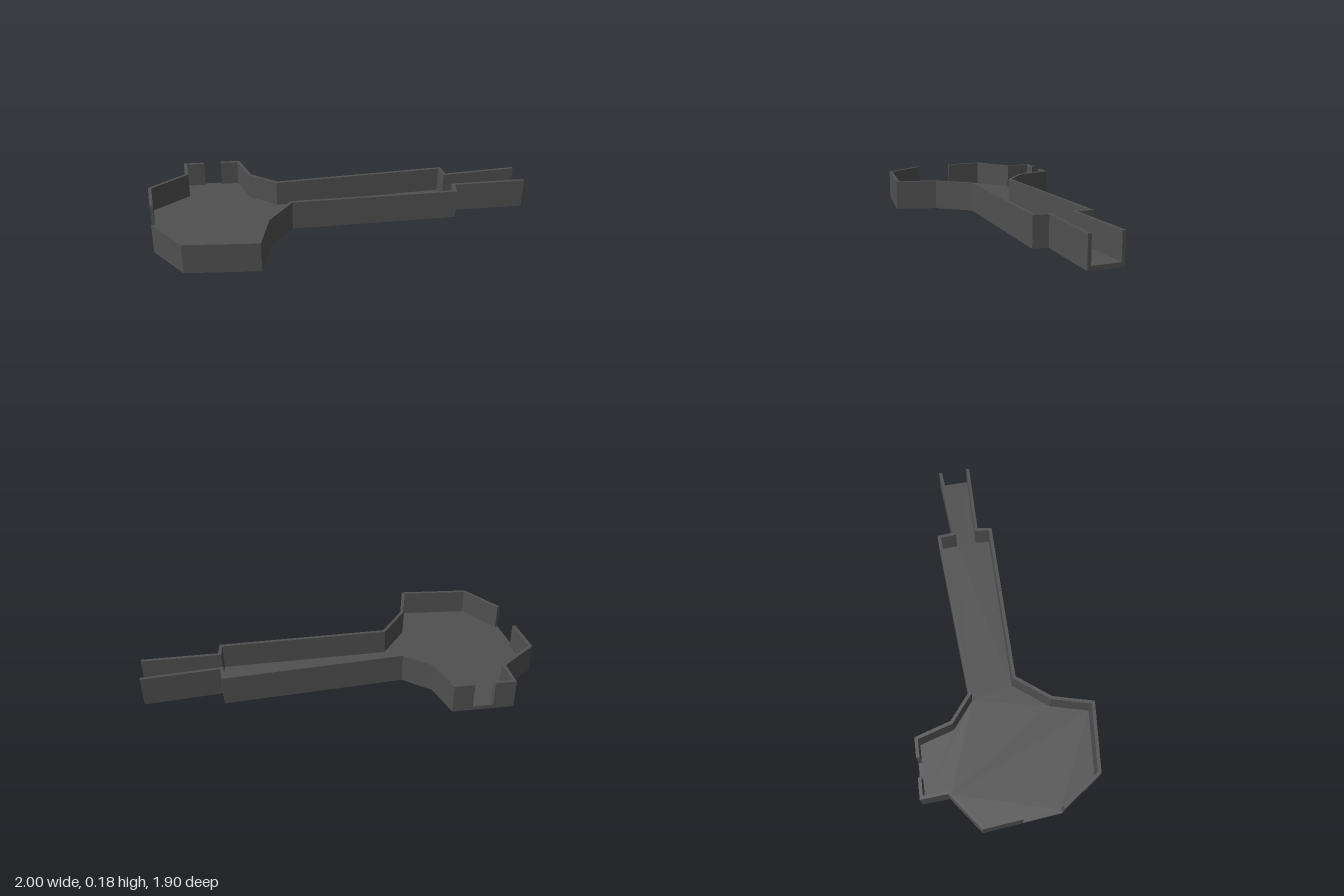
import * as THREE from 'three';

const HEIGHT = 0.18, SILL = 0.025, WALL = 0.02, FLOOR_BOTTOM = 0.018;

// Plan outline as [x, z, wall spans]; spans are fractions of the edge to the
// next corner that carry a full-height wall (default: the whole edge).
const OUTLINE = [
  [0.863, -0.95, []],                      // open corridor end
  [1, -0.8],
  [0.65, -0.51],
  [0.7, -0.435],
  [-0.08, 0.225],
  [-0.07, 0.475],
  [0.04, 0.705],
  [-0.317, 0.95],
  [-0.605, 0.875, [[0.5, 1]]],             // wide doorway beside the front wall
  [-0.95, 0.54],
  [-0.885, 0.27],
  [-1, 0.15, [[0, 0.34], [0.67, 1]]],      // doorway in the back wall
  [-0.715, -0.08],
  [-0.52, 0.045],
  [-0.32, 0.04],
  [0.465, -0.7],
  [0.535, -0.63],
];

// Mitred inward offset of a closed polygon (clockwise in shape space)
function inset(points, d) {
  const n = points.length;
  return points.map((p, i) => {
    const a = p.clone().sub(points[(i + n - 1) % n]).normalize();
    const b = points[(i + 1) % n].clone().sub(p).normalize();
    const na = new THREE.Vector2(a.y, -a.x);
    const nb = new THREE.Vector2(b.y, -b.x);
    const m = na.clone().add(nb);
    return p.clone().addScaledVector(m, d / (1 + na.dot(nb)));
  });
}

// Extrudes a plan shape upwards from y0 to y1
function slab(shape, y0, y1) {
  const g = new THREE.ExtrudeGeometry(shape, { depth: y1 - y0, bevelEnabled: false });
  g.rotateX(-Math.PI / 2);
  g.translate(0, y0, 0);
  return g;
}

export function createModel() {
  const model = new THREE.Group();
  model.name = 'walledRoomWithCorridor';
  const material = new THREE.MeshStandardMaterial({ color: 0x505050, flatShading: true });
  const add = (parent, name, geometry) => {
    const mesh = new THREE.Mesh(geometry, material);
    mesh.name = name;
    parent.add(mesh);
  };

  const outer = OUTLINE.map(([x, z]) => new THREE.Vector2(x, -z));
  const inner = inset(outer, WALL);

  // Thin floor, raised slightly above the bottom rim
  add(model, 'floor', slab(new THREE.Shape(inner), FLOOR_BOTTOM, SILL));

  // Continuous low rim that forms the door sills; its hole winds the other way
  const rim = new THREE.Shape(outer);
  rim.holes.push(new THREE.Path([...inner].reverse()));
  add(model, 'rim', slab(rim, 0, SILL));

  // Walls end square at the open corridor end
  const wallInner = [...inner];
  const endFraction = WALL / outer[0].distanceTo(outer[1]);
  wallInner[0] = outer[0].clone().lerp(outer[1], endFraction);
  wallInner[1] = outer[1].clone().lerp(outer[0], endFraction);

  // Full-height walls, one block per span
  const walls = new THREE.Group();
  walls.name = 'walls';
  model.add(walls);
  OUTLINE.forEach(([, , spans = [[0, 1]]], i) => {
    const j = (i + 1) % OUTLINE.length;
    for (const [t0, t1] of spans) {
      const corners = [
        outer[i].clone().lerp(outer[j], t0),
        outer[i].clone().lerp(outer[j], t1),
        wallInner[i].clone().lerp(wallInner[j], t1),
        wallInner[i].clone().lerp(wallInner[j], t0),
      ];
      add(walls, 'wall', slab(new THREE.Shape(corners), SILL, HEIGHT));
    }
  });
  return model;
}
